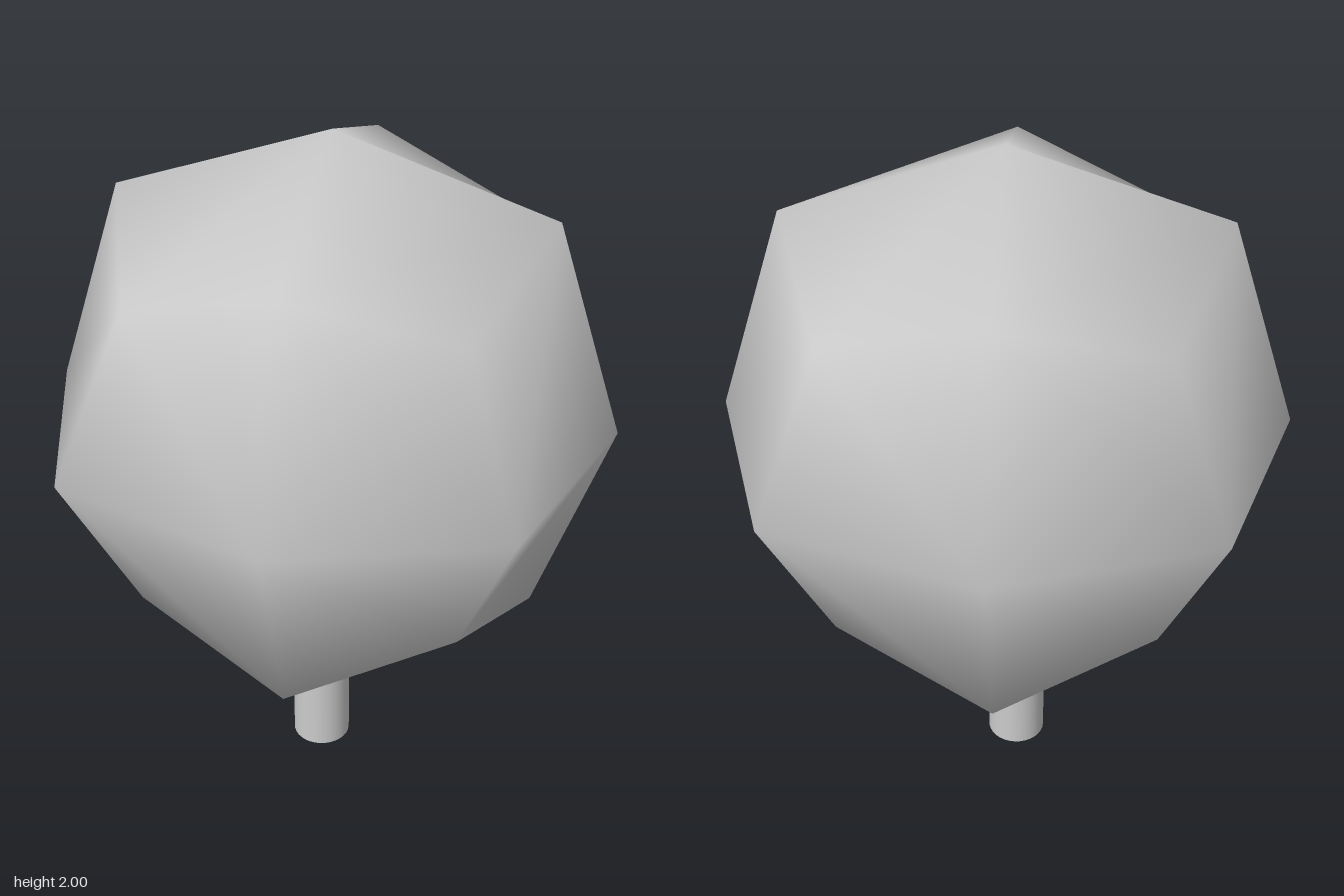
import * as THREE from 'three';
import { mergeVertices } from 'three/addons/utils/BufferGeometryUtils.js';

// Cube smoothed once: 6 face points, 12 edge points, 8 corner points, 24 quads
function crownGeometry(size) {
  const EDGE = 0.75 * size, CORNER = size * 5 / 9;
  const positions = [];
  const n = new THREE.Vector3(), u = new THREE.Vector3();

  const addTriangle = (a, b, c) => {
    n.subVectors(b, a).cross(u.subVectors(c, a));
    const outward = n.dot(a) > 0;
    for (const p of outward ? [a, b, c] : [a, c, b]) positions.push(p.x, p.y, p.z);
  };

  for (const sx of [-1, 1]) for (const sy of [-1, 1]) for (const sz of [-1, 1]) {
    const sign = [sx, sy, sz];
    const corner = new THREE.Vector3(sx, sy, sz).multiplyScalar(CORNER);
    for (let axis = 0; axis < 3; axis++) {
      const point = (other) => {
        const p = new THREE.Vector3();
        p.setComponent(axis, sign[axis] * (other === undefined ? size : EDGE));
        if (other !== undefined) p.setComponent(other, sign[other] * EDGE);
        return p;
      };
      const face = point();
      const e1 = point((axis + 1) % 3), e2 = point((axis + 2) % 3);
      // Diagonals run parallel across each face; the underside is turned the other way
      const underside = axis === 1 && sy < 0;
      if ((sx * sy * sz > 0) !== underside) {
        addTriangle(face, e1, e2);
        addTriangle(corner, e1, e2);
      } else {
        addTriangle(face, corner, e1);
        addTriangle(face, corner, e2);
      }
    }
  }
  let geometry = new THREE.BufferGeometry();
  geometry.setAttribute('position', new THREE.Float32BufferAttribute(positions, 3));
  geometry = mergeVertices(geometry);
  geometry.computeVertexNormals();
  return geometry;
}

export function createModel() {
  const model = new THREE.Group();
  model.name = 'tree';
  const material = new THREE.MeshStandardMaterial({ color: 0xcccccc });

  // Rounded crown
  const crown = new THREE.Mesh(crownGeometry(0.79), material);
  crown.name = 'crown';
  crown.position.y = 1.21;
  model.add(crown);

  // Trunk, slightly off centre, running up into the crown
  const height = 0.6;
  const trunk = new THREE.Mesh(new THREE.CylinderGeometry(0.087, 0.087, height, 32), material);
  trunk.name = 'trunk';
  trunk.position.set(-0.035, height / 2, 0.004);
  model.add(trunk);

  return model;
}
